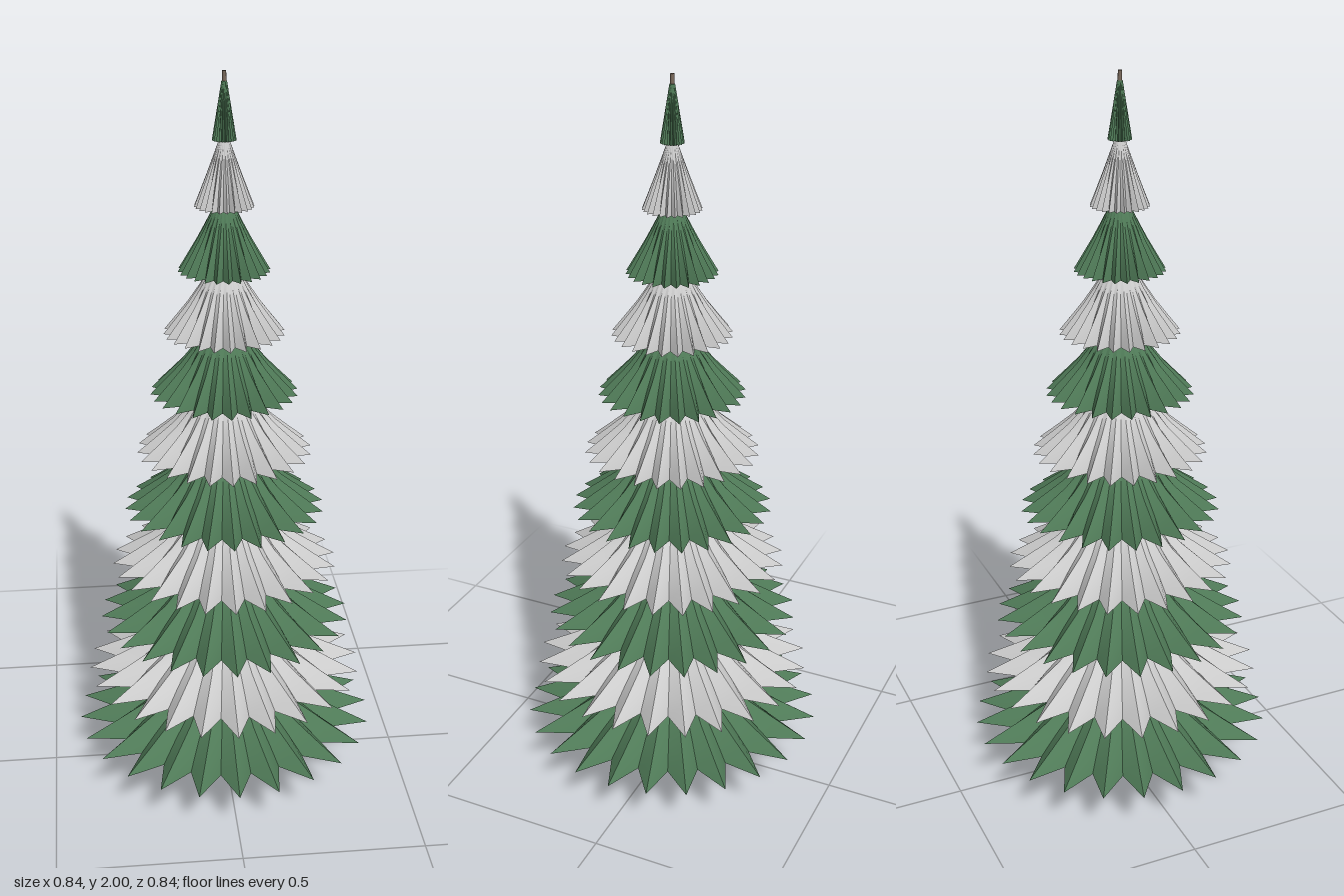
import * as THREE from 'three';
import { toCreasedNormals } from 'three/addons/utils/BufferGeometryUtils.js';

const TIERS = 11;
const POINTS = 24; // star points round each skirt
const STEP = 0.169; // height between skirts
const RADII = [0.422, 0.388, 0.35, 0.312, 0.274, 0.237, 0.198, 0.16, 0.12, 0.077, 0.031];
const FLARE = [1, 0.66, 0.34, 0.14, 0]; // concave sweep from rim to top

// One pleated skirt: star-shaped rings that flatten into a circle toward the top
function skirtGeometry(rim, top, height, straightness) {
  const n = POINTS * 2;
  const pos = [];
  const index = [];
  const rows = FLARE.length;
  FLARE.forEach((f, k) => {
    const h = k / (rows - 1);
    const radius = top + (rim - top) * THREE.MathUtils.lerp(f, 1 - h, straightness);
    for (let j = 0; j < n; j++) {
      const a = (j / n) * Math.PI * 2;
      const r = j % 2 ? radius * (1 - 0.24 * (1 - h)) : radius;
      pos.push(r * Math.cos(a), h * height, -r * Math.sin(a));
    }
  });
  const bottom = rows * n;
  pos.push(0, 0, 0, 0, height, 0);
  for (let j = 0; j < n; j++) {
    const j2 = (j + 1) % n;
    for (let k = 0; k < rows - 1; k++) {
      const a = k * n + j, b = k * n + j2;
      index.push(a, b, b + n, a, b + n, a + n);
    }
    // flat underside and small top cap
    index.push(bottom, j2, j);
    index.push(bottom + 1, (rows - 1) * n + j, (rows - 1) * n + j2);
  }
  const geo = new THREE.BufferGeometry();
  geo.setAttribute('position', new THREE.Float32BufferAttribute(pos, 3));
  geo.setIndex(index);
  return toCreasedNormals(geo, 0.5);
}

export function createModel() {
  const tree = new THREE.Group();
  tree.name = 'tree';
  const green = new THREE.MeshStandardMaterial({ color: 0x4f7a57 });
  const pale = new THREE.MeshStandardMaterial({ color: 0xcccccc });
  const wood = new THREE.MeshStandardMaterial({ color: 0x7a6a5c });

  // Tapered trunk running up through every skirt to the tip
  const trunk = new THREE.Mesh(new THREE.CylinderGeometry(0.005, 0.034, 2, 16), wood);
  trunk.name = 'trunk';
  trunk.position.y = 1;
  tree.add(trunk);

  // Alternating green and pale branch skirts
  for (let i = 0; i < TIERS; i++) {
    const top = Math.max(0.007, 0.135 - 0.0135 * i);
    const height = i === TIERS - 1 ? 0.145 : STEP;
    const geo = skirtGeometry(RADII[i], top, height, i / (TIERS - 1));
    const skirt = new THREE.Mesh(geo, i % 2 ? pale : green);
    skirt.name = `branchSkirt${i + 1}`;
    skirt.position.y = 0.14 + STEP * i;
    tree.add(skirt);
  }
  return tree;
}
